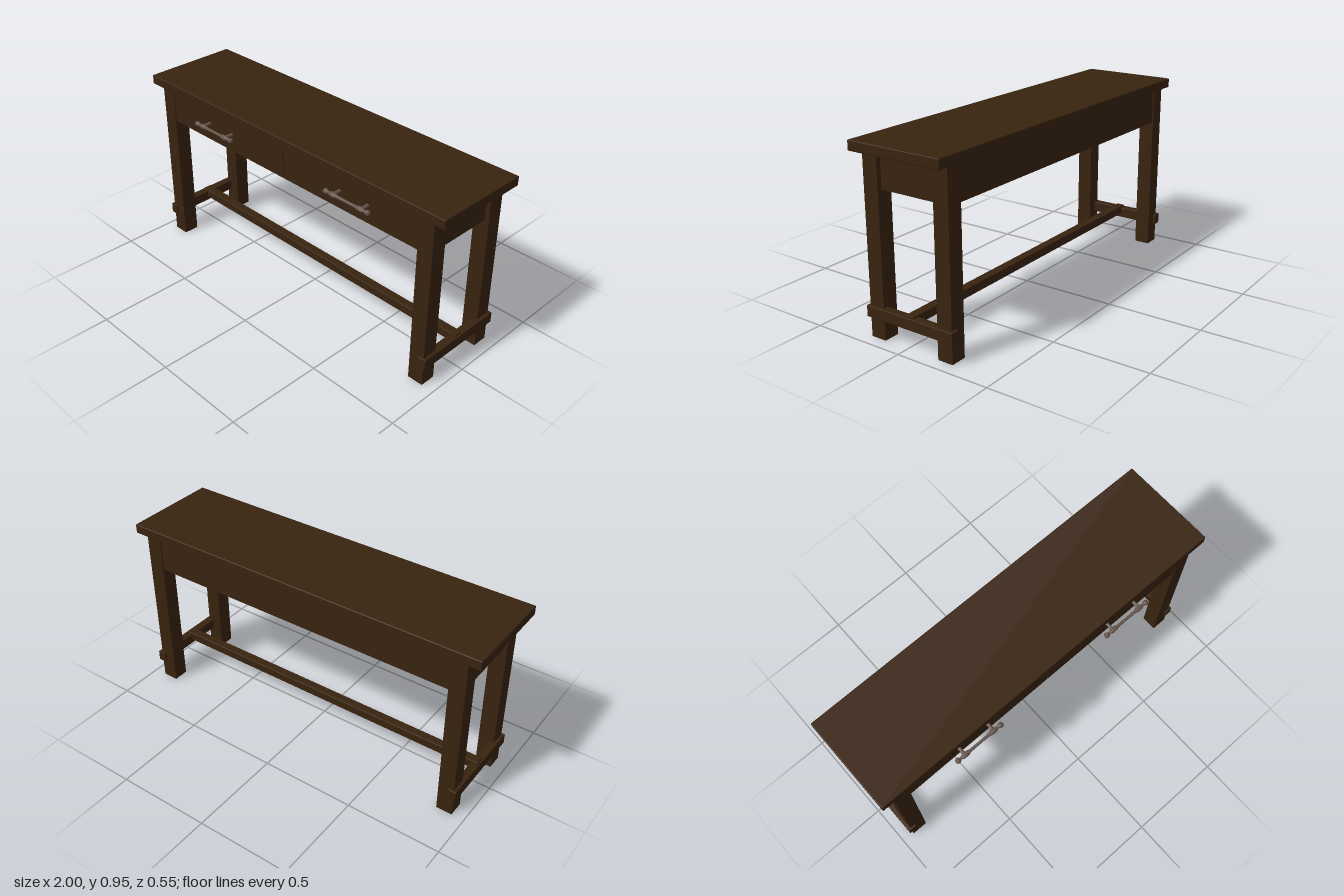
import * as THREE from 'three';
import { RoundedBoxGeometry } from 'three/addons/geometries/RoundedBoxGeometry.js';

export function createModel() {
  const model = new THREE.Group();
  model.name = 'consoleTable';
  const wood = new THREE.MeshStandardMaterial({ color: 0x38230f });
  wood.name = 'darkWood';
  const metal = new THREE.MeshStandardMaterial({ color: 0x65544b });
  metal.name = 'agedMetal';

  // Box given by its limits on each axis, with softly eased edges if r > 0
  function block(name, [x0, x1], [y0, y1], [z0, z1], r = 0) {
    const size = [x1 - x0, y1 - y0, z1 - z0];
    const geometry = r ? new RoundedBoxGeometry(...size, 2, r) : new THREE.BoxGeometry(...size);
    const mesh = new THREE.Mesh(geometry, wood);
    mesh.name = name;
    mesh.position.set((x0 + x1) / 2, (y0 + y1) / 2, (z0 + z1) / 2);
    model.add(mesh);
  }
  const span = (s, a, b) => (s > 0 ? [a, b] : [-b, -a]);

  block('tableTop', [-1, 1], [0.905, 0.955], [-0.275, 0.24], 0.005);
  block('apronBody', [-0.91, 0.91], [0.725, 0.906], [-0.255, 0.205]);
  block('longStretcher', [-0.94, 0.94], [0.125, 0.172], [-0.047, 0], 0.003);

  // Bar pull: turned rod with collars and ball ends, on two posts
  function makeHandle() {
    const handle = new THREE.Group();
    const half = [
      [0.007, 0], [0.008, 0.06], [0.012, 0.07], [0.013, 0.085], [0.012, 0.1],
      [0.007, 0.108], [0.007, 0.116], [0.013, 0.122], [0.014, 0.13], [0.011, 0.139], [0, 0.143],
    ];
    const profile = [
      ...half.slice(1).reverse().map(([r, y]) => new THREE.Vector2(r, -y)),
      ...half.map(([r, y]) => new THREE.Vector2(r, y)),
    ];
    const bar = new THREE.Mesh(new THREE.LatheGeometry(profile, 16), metal);
    bar.name = 'handleBar';
    bar.rotation.z = Math.PI / 2;
    bar.position.z = 0.263;
    handle.add(bar);
    for (const x of [-0.087, 0.087]) {
      const post = new THREE.Mesh(new THREE.CylinderGeometry(0.009, 0.009, 0.05, 12), metal);
      post.name = 'handlePost';
      post.rotation.x = Math.PI / 2;
      post.position.set(x, 0, 0.237);
      handle.add(post);
    }
    return handle;
  }

  for (const s of [1, -1]) {
    const side = s > 0 ? 'left' : 'right';
    block(side + 'FrontLeg', span(s, 0.85, 0.934), [0, 0.906], [0.137, 0.22]);
    block(side + 'BackLeg', span(s, 0.85, 0.934), [0, 0.906], [-0.262, -0.18]);
    block(side + 'SideStretcher', span(s, 0.905, 0.95), [0.105, 0.162], [-0.275, 0.23], 0.003);
    block(side + 'DrawerFront', span(s, 0.002, 0.849), [0.725, 0.902], [0.2, 0.216]);

    const handle = makeHandle();
    handle.name = side + 'DrawerHandle';
    handle.position.set(s * 0.467, 0.818, 0);
    model.add(handle);
  }
  return model;
}
